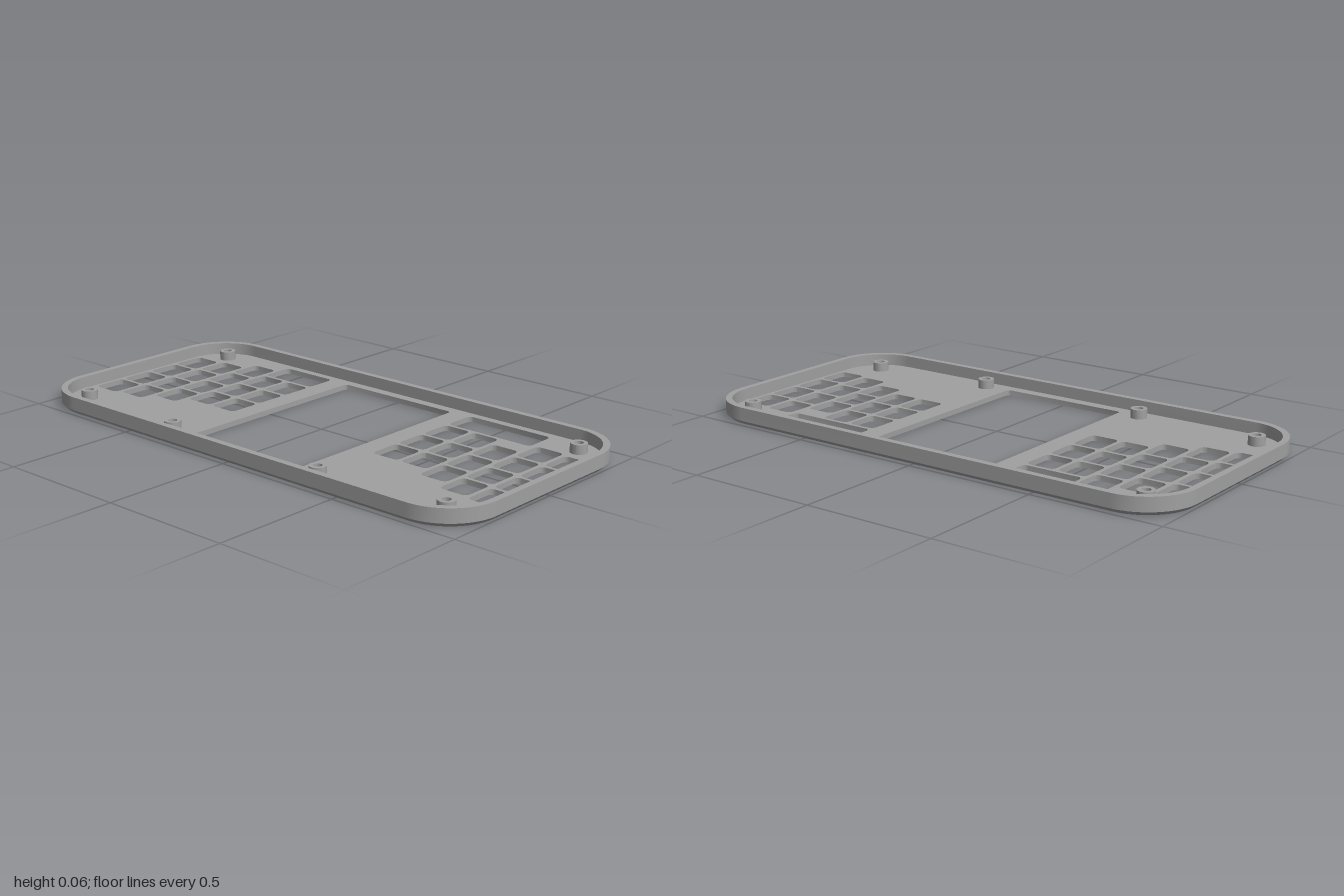
import * as THREE from 'three';
import { toCreasedNormals } from 'three/addons/utils/BufferGeometryUtils.js';

const HALF_W = 1, HALF_D = 0.49, CORNER = 0.2;
const FLOOR = 0.02, HEIGHT = 0.065, CHAMFER = 0.014, WALL = 0.025;

// Rounded rectangle as counter-clockwise points (y of the shape is -z of the model)
function roundedRect(cx, cz, hw, hd, r, steps) {
  const pts = [];
  [[1, 1], [-1, 1], [-1, -1], [1, -1]].forEach(([sx, sy], q) => {
    for (let i = 0; i <= steps; i++) {
      const a = (q + i / steps) * Math.PI / 2;
      pts.push(new THREE.Vector2(
        cx + sx * (hw - r) + r * Math.cos(a),
        -cz + sy * (hd - r) + r * Math.sin(a)));
    }
  });
  return pts;
}

const outline = inset => roundedRect(0, 0, HALF_W - inset, HALF_D - inset, CORNER - inset, 16);

// Sweeps a profile of [inset, y] around the outline, with a sharp edge at each profile point
function sweepOutline(profile) {
  const pos = [], index = [];
  for (let k = 0; k + 1 < profile.length; k++) {
    const base = pos.length / 3;
    const [low, high] = [profile[k], profile[k + 1]].map(([inset]) => outline(inset));
    const n = low.length;
    low.forEach(p => pos.push(p.x, profile[k][1], -p.y));
    high.forEach(p => pos.push(p.x, profile[k + 1][1], -p.y));
    for (let i = 0; i < n; i++) {
      const a = base + i, b = base + (i + 1) % n;
      index.push(a, b, b + n, a, b + n, a + n);
    }
  }
  const g = new THREE.BufferGeometry();
  g.setAttribute('position', new THREE.Float32BufferAttribute(pos, 3));
  g.setIndex(index);
  g.computeVertexNormals();
  return g;
}

export function createModel() {
  const group = new THREE.Group();
  const grey = new THREE.MeshStandardMaterial({ color: 0xa0a0a0 });
  grey.name = 'grey plastic';
  const add = (name, geometry) => {
    const mesh = new THREE.Mesh(geometry, grey);
    mesh.name = name;
    group.add(mesh);
    return mesh;
  };

  const floor = new THREE.Shape(outline(CHAMFER));
  const cut = (cx, cz, w, d, r, steps = 5) =>
    floor.holes.push(new THREE.Path(roundedRect(cx, cz, w / 2, d / 2, r, steps).reverse()));

  // Screen opening
  cut(-0.001, -0.002, 0.518, 0.85, 0.015);

  // Key openings in staggered columns: x, first z, rows
  const columns = [
    [-0.906, -0.241, 4], [-0.778, -0.257, 4], [-0.65, -0.313, 4], [-0.523, -0.229, 3], [-0.396, -0.229, 3],
    [0.396, -0.229, 3], [0.523, -0.229, 3], [0.65, -0.172, 3], [0.778, -0.257, 4], [0.906, -0.241, 4],
  ];
  for (const [x, z, rows] of columns) {
    for (let i = 0; i < rows; i++) cut(x, z + i * 0.1405, 0.112, 0.127, 0.02);
  }
  // Wide key openings
  cut(-0.46, -0.37, 0.238, 0.127, 0.02);
  cut(0.52, -0.37, 0.36, 0.127, 0.02);

  // Screw posts with countersunk through holes
  const postProfile = [[0.031, FLOOR], [0.031, 0.055], [0.016, 0.055], [0.016, 0.01], [0.027, 0]]
    .map(([r, y]) => new THREE.Vector2(r, y));
  const postGeometry = toCreasedNormals(new THREE.LatheGeometry(postProfile, 24), 0.5);
  for (const side of [-1, 1]) {
    for (const [x, z] of [[0.86, -0.37], [0.86, 0.363], [0.352, 0.404]]) {
      cut(side * x, z, 0.054, 0.054, 0.027, 6);
      add('screwPost', postGeometry).position.set(side * x, 0, z);
    }
  }

  // Floor plate
  const plate = new THREE.ExtrudeGeometry(floor, { depth: FLOOR, bevelEnabled: false });
  plate.rotateX(-Math.PI / 2);
  add('floorPlate', toCreasedNormals(plate, 0.5));

  // Rim wall with chamfered bottom edge
  add('rimWall', sweepOutline([
    [CHAMFER, 0], [0, CHAMFER], [0, HEIGHT], [WALL, HEIGHT], [WALL, FLOOR],
  ]));

  return group;
}
